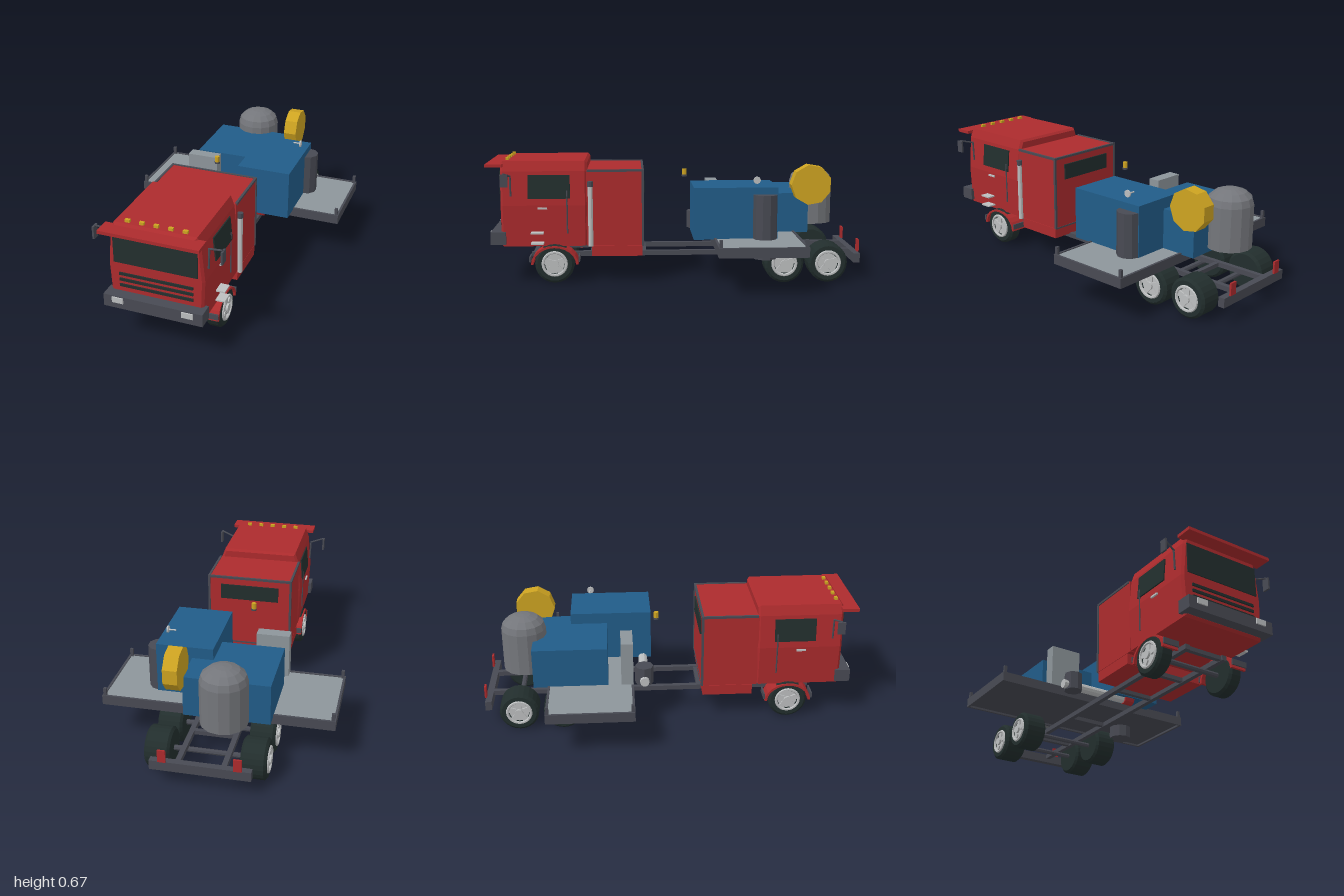
import * as THREE from 'three';

const mat = (name, color, extra = {}) => new THREE.MeshStandardMaterial({ name, color, ...extra });

export function createModel() {
  const root = new THREE.Group();
  root.name = 'serviceTruck';
  const red = mat('redPaint', 0xac2b2d);
  const blue = mat('bluePaint', 0x215c88);
  const frame = mat('darkFrame', 0x484a53);
  const rubber = mat('rubberAndGlass', 0x222e2d);
  const grey = mat('deckGrey', 0x8d959a);
  const steel = mat('tankSteel', 0x74767b);
  const light = mat('lightMetal', 0xbcbebf);
  const yellow = mat('yellow', 0xcda321);
  for (const m of [red, blue, frame, steel, yellow, rubber, light]) m.flatShading = true;

  const add = (name, geo, m, parent = root) => {
    const mesh = new THREE.Mesh(geo, m);
    mesh.name = name;
    parent.add(mesh);
    return mesh;
  };
  // box given by its limits on each axis
  const box = (name, m, x0, x1, y0, y1, z0, z1) => {
    const b = add(name, new THREE.BoxGeometry(x1 - x0, y1 - y0, z1 - z0), m);
    b.position.set((x0 + x1) / 2, (y0 + y1) / 2, (z0 + z1) / 2);
    return b;
  };
  // cylinder centred at a point along axis x, y or z
  const cyl = (name, m, r, len, sides, axis, x, y, z, parent = root) => {
    const g = new THREE.CylinderGeometry(r, r, len, sides);
    if (axis === 'x') g.rotateZ(Math.PI / 2);
    if (axis === 'z') g.rotateX(Math.PI / 2);
    const c = add(name, g, m, parent);
    c.position.set(x, y, z);
    return c;
  };
  // straight rod between two points
  const rod = (name, m, r, a, b) => {
    const p = new THREE.Vector3(...a), q = new THREE.Vector3(...b);
    const c = add(name, new THREE.CylinderGeometry(r, r, p.distanceTo(q), 6), m);
    c.position.copy(p).add(q).multiplyScalar(0.5);
    c.quaternion.setFromUnitVectors(new THREE.Vector3(0, 1, 0), q.sub(p).normalize());
    return c;
  };

  // chassis
  for (const s of [-1, 1]) box('chassisRail', frame, s * 0.113 - 0.013, s * 0.113 + 0.013, 0.12, 0.146, -0.96, 0.78);
  for (const z of [-0.69, -0.3, 0.17, 0.45, 0.76]) box('crossMember', frame, -0.1, 0.1, 0.122, 0.144, z - 0.012, z + 0.012);
  box('rearBumper', frame, -0.25, 0.25, 0.096, 0.146, -0.995, -0.96);
  for (const s of [-1, 1]) box('tailLight', red, s * 0.185 - 0.02, s * 0.185 + 0.02, 0.146, 0.212, -1, -0.99);

  // wheels and axles
  const wheel = (side, z, inner, outer) => {
    const g = new THREE.Group();
    g.name = 'wheel';
    const w = outer - inner, c = 0.012;
    const tyre = new THREE.LatheGeometry([[0, -w / 2], [0.092, -w / 2], [0.105, -w / 2 + c], [0.105, w / 2 - c],
      [0.092, w / 2], [0.07, w / 2], [0.064, w / 2 - 0.012], [0, w / 2 - 0.012]].map(p => new THREE.Vector2(...p)), 24);
    add('tyre', tyre.rotateZ(-Math.PI / 2), rubber, g);
    const rim = new THREE.TorusGeometry(0.062, 0.008, 6, 24).rotateY(Math.PI / 2);
    add('rim', rim, light, g).position.x = w / 2;
    cyl('hubCap', light, 0.022, 0.024, 12, 'x', w / 2, 0, 0, g);
    for (let i = 0; i < 5; i++) {
      const spoke = new THREE.BoxGeometry(0.012, 0.05, 0.03).translate(w / 2 - 0.005, 0.037, 0);
      add('spoke', spoke.rotateX(i * Math.PI * 0.4), light, g);
    }
    cyl('rimPlate', light, 0.052, 0.006, 20, 'x', w / 2 - 0.01, 0, 0, g);
    g.position.set(side * (inner + outer) / 2, 0.106, z);
    if (side < 0) g.rotation.y = Math.PI;
    root.add(g);
  };
  for (const [z, outer] of [[0.647, 0.252], [-0.575, 0.303], [-0.81, 0.303]]) {
    for (const s of [-1, 1]) wheel(s, z, 0.175, outer);
    cyl('axle', frame, 0.014, 0.36, 8, 'x', 0, 0.106, z);
  }

  // front mudguards
  for (const s of [-1, 1]) {
    const arc = new THREE.Shape();
    arc.absarc(0, 0, 0.126, 0, Math.PI, false);
    arc.absarc(0, 0, 0.113, Math.PI, 0, true);
    const g = new THREE.ExtrudeGeometry(arc, { depth: 0.09, bevelEnabled: false, curveSegments: 6 });
    const m = add('mudguard', g.translate(0, 0, -0.045).rotateY(Math.PI / 2), red);
    m.scale.y = 0.8;
    m.position.set(s * 0.21, 0.102, 0.647);
    for (const d of [-1, 1]) box('mudguardBracket', frame, s * 0.21 - 0.045, s * 0.21 + 0.045, 0.115, 0.145, 0.647 + d * 0.13 - 0.004, 0.647 + d * 0.13 + 0.004);
  }

  // cab shell
  const side = [[0.236, 0.2], [0.246, 0.42], [0.229, 0.6], [0.21, 0.652]];
  const shell = new THREE.Shape([...side, ...side.slice().reverse().map(([x, y]) => [-x, y])].map(p => new THREE.Vector2(...p)));
  const bevel = 0.012;
  add('cab', new THREE.ExtrudeGeometry(shell, { depth: 0.455 - 2 * bevel, bevelSize: bevel, bevelThickness: bevel, bevelOffset: -bevel, bevelSegments: 1 }), red).position.z = 0.47 + bevel;
  box('sunVisor', red, -0.255, 0.252, 0.623, 0.64, 0.91, 1);
  box('windscreen', rubber, -0.215, 0.215, 0.44, 0.6, 0.922, 0.93);
  for (const y of [0.379, 0.347, 0.315]) box('grilleSlot', rubber, -0.19, 0.19, y - 0.007, y + 0.007, 0.923, 0.932);
  box('frontBumper', frame, -0.256, 0.256, 0.213, 0.28, 0.9, 0.98);
  for (let i = -2; i <= 2; i++) box('roofLight', yellow, i * 0.073 - 0.012, i * 0.073 + 0.012, 0.65, 0.666, 0.887, 0.903);

  for (const s of [-1, 1]) {
    box('headlight', light, s * 0.18 - 0.029, s * 0.18 + 0.029, 0.246, 0.275, 0.979, 0.987);
    const win = box('sideWindow', rubber, -0.0045, 0.0045, -0.0625, 0.0625, -0.11, 0.11);
    win.position.set(s * 0.239, 0.518, 0.67);
    win.rotation.z = s * 0.094;
    box('doorHandle', light, s * 0.248 - 0.006, s * 0.248 + 0.006, 0.4, 0.41, 0.68, 0.73);
    rod('grabRail', frame, 0.004, [s * 0.246, 0.5, 0.576], [s * 0.246, 0.27, 0.576]);
    // mirrors
    rod('mirrorPost', frame, 0.005, [s * 0.246, 0.47, 0.87], [s * 0.25, 0.578, 0.87]);
    rod('mirrorArm', frame, 0.005, [s * 0.246, 0.576, 0.87], [s * 0.325, 0.598, 0.895]);
    box('mirror', frame, s * 0.326 - 0.005, s * 0.326 + 0.005, 0.53, 0.596, 0.872, 0.912);
  }

  // boarding steps
  for (const y of [0.277, 0.222]) box('step', light, 0.235, 0.286, y - 0.004, y + 0.004, 0.7, 0.766);

  // crew cabin with dark edge trim
  box('crewCabin', red, -0.235, 0.235, 0.2, 0.604, 0.175, 0.475);
  box('cabinSkirt', red, -0.235, 0.235, 0.142, 0.198, 0.18, 0.45);
  for (const s of [-1, 1]) {
    box('topTrim', frame, s * 0.234 - 0.006, s * 0.234 + 0.006, 0.596, 0.608, 0.17, 0.47);
    box('cornerTrim', frame, s * 0.234 - 0.006, s * 0.234 + 0.006, 0.2, 0.608, 0.17, 0.182);
  }
  box('rearTopTrim', frame, -0.234, 0.234, 0.596, 0.608, 0.17, 0.182);
  box('rearBottomTrim', frame, -0.234, 0.234, 0.196, 0.204, 0.172, 0.18);
  box('rearWindow', rubber, -0.165, 0.165, 0.475, 0.56, 0.167, 0.176);

  // exhaust stack
  cyl('exhaustPipe', light, 0.013, 0.32, 10, 'y', 0.25, 0.36, 0.453);
  cyl('exhaustTip', frame, 0.015, 0.028, 10, 'y', 0.25, 0.533, 0.453);

  // load platform with rim and corner posts
  box('platformBase', frame, -0.59, 0.59, 0.215, 0.246, -0.64, -0.205);
  box('deck', grey, -0.59, 0.59, 0.245, 0.251, -0.64, -0.205);
  for (const s of [-1, 1]) {
    box('platformSideRim', frame, s * 0.594 - 0.006, s * 0.594 + 0.006, 0.204, 0.256, -0.65, -0.195);
    box('platformEndRim', frame, -0.588, 0.588, 0.204, 0.256, -0.4225 + s * 0.2215 - 0.006, -0.4225 + s * 0.2215 + 0.006);
    for (const z of [-0.638, -0.207]) box('cornerPost', frame, s * 0.586 - 0.008, s * 0.586 + 0.008, 0.25, 0.295, z - 0.008, z + 0.008);
  }

  // equipment housings
  box('rearHousing', blue, -0.29, 0.15, 0.247, 0.462, -0.725, -0.33);
  box('sideHousing', blue, 0.04, 0.338, 0.247, 0.521, -0.53, -0.088);
  box('controlCabinet', grey, -0.302, -0.127, 0.256, 0.492, -0.26, -0.196);

  // tanks
  cyl('sideTank', frame, 0.065, 0.338, 10, 'y', 0.333, 0.315, -0.462);
  const tank = [[0, 0.272], [0.12, 0.272], [0.12, 0.5], [0.11, 0.535], [0.08, 0.562], [0.04, 0.576], [0, 0.58]];
  add('rearTank', new THREE.LatheGeometry(tank.map(p => new THREE.Vector2(...p)), 14), steel).position.set(-0.072, 0, -0.778);

  // hose drum
  cyl('hoseDrum', yellow, 0.109, 0.073, 9, 'x', 0.178, 0.515, -0.73);

  // pump line
  cyl('pumpPipe', light, 0.025, 0.4, 10, 'x', -0.065, 0.245, -0.135);
  cyl('pumpBody', frame, 0.05, 0.1, 8, 'y', -0.2, 0.265, -0.135);
  cyl('pumpFlange', red, 0.03, 0.06, 10, 'x', 0.16, 0.245, -0.13);

  // valve wheel
  cyl('valveStem', light, 0.004, 0.045, 6, 'x', 0.282, 0.555, -0.425);
  cyl('valveWheel', light, 0.019, 0.008, 14, 'x', 0.303, 0.555, -0.422);

  // beacon
  cyl('beaconBase', frame, 0.015, 0.01, 8, 'y', -0.073, 0.535, -0.063);
  cyl('beacon', yellow, 0.013, 0.032, 8, 'y', -0.073, 0.556, -0.063);

  return root;
}
